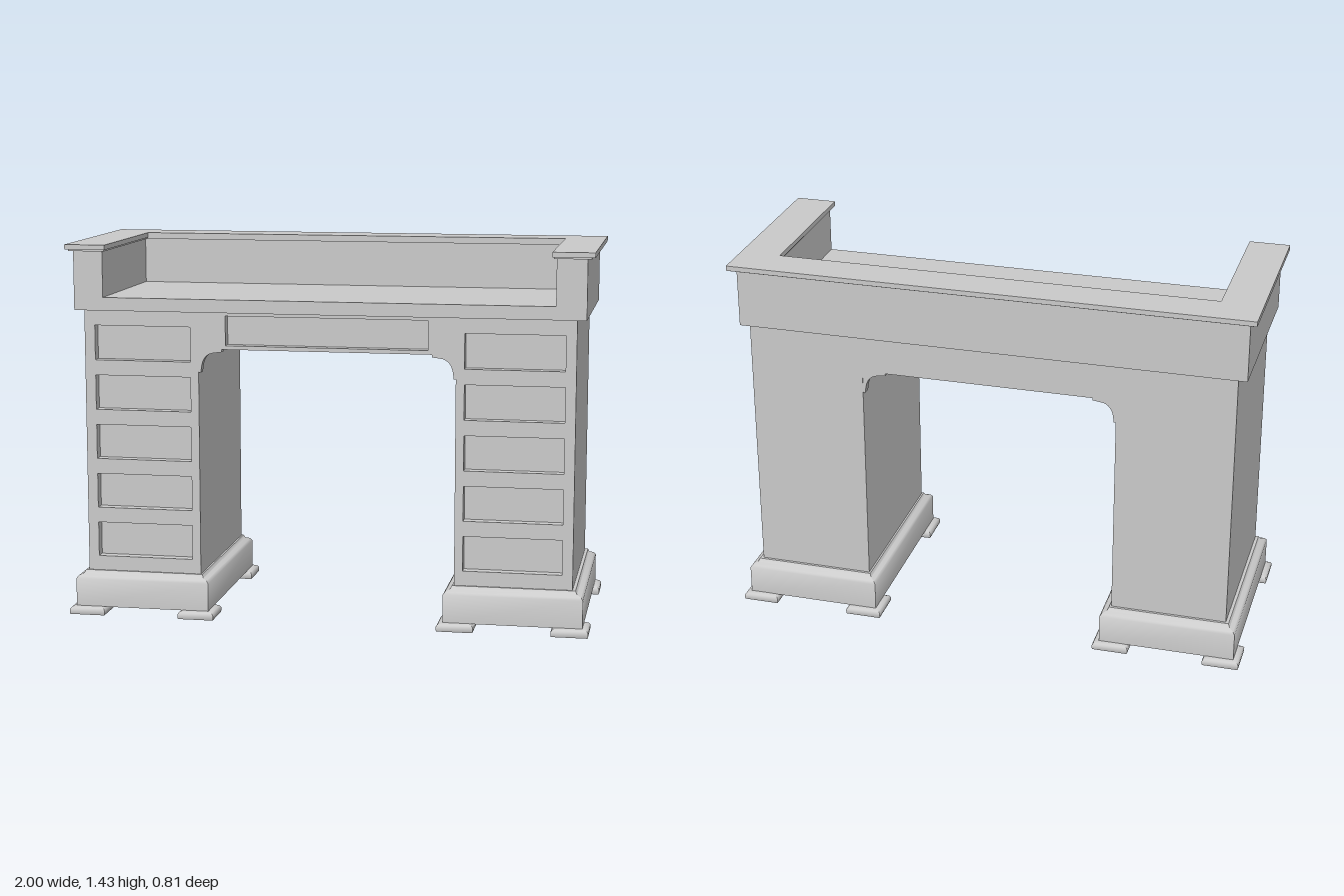
import * as THREE from 'three';
import { toCreasedNormals } from 'three/addons/utils/BufferGeometryUtils.js';

const material = new THREE.MeshStandardMaterial({ color: 0xcccccc });

// Closed rectangular loft; each ring is [halfX, halfZ, y], listed bottom to top
function loft(rings) {
  const corners = [[-1, 1], [1, 1], [1, -1], [-1, -1]];
  const pos = [];
  const idx = [];
  for (const [hx, hz, y] of rings) for (const [sx, sz] of corners) pos.push(sx * hx, y, sz * hz);
  for (let r = 0; r < rings.length - 1; r++) {
    for (let i = 0; i < 4; i++) {
      const a = r * 4 + i, b = r * 4 + (i + 1) % 4;
      idx.push(a, b, b + 4, a, b + 4, a + 4);
    }
  }
  const t = (rings.length - 1) * 4;
  idx.push(0, 2, 1, 0, 3, 2, t, t + 1, t + 2, t, t + 2, t + 3);
  const geo = new THREE.BufferGeometry();
  geo.setAttribute('position', new THREE.Float32BufferAttribute(pos, 3));
  geo.setIndex(idx);
  return toCreasedNormals(geo, 0.8);
}

function polygon(points, Type = THREE.Shape) {
  return new Type(points.map(([x, y]) => new THREE.Vector2(x, y)));
}

const rect = (x0, x1, y0, y1) => [[x0, y0], [x1, y0], [x1, y1], [x0, y1]];

// Extrusion along z from z0 to z1
function slab(shape, z0, z1) {
  const geo = new THREE.ExtrudeGeometry(shape, { depth: z1 - z0, bevelEnabled: false, curveSegments: 8 });
  return geo.translate(0, 0, z0);
}

// U-shaped plan (open to the front) raised from y0 to y1
function uPlan(outerX, innerX, back, innerBack, front, y0, y1) {
  const shape = polygon([
    [-outerX, -front], [-innerX, -front], [-innerX, -innerBack], [innerX, -innerBack],
    [innerX, -front], [outerX, -front], [outerX, -back], [-outerX, -back],
  ]);
  return slab(shape, y0, y1).rotateX(-Math.PI / 2);
}

export function createModel() {
  const group = new THREE.Group();
  const add = (name, geo, x = 0, y = 0, z = 0) => {
    const mesh = new THREE.Mesh(geo, material);
    mesh.name = name;
    mesh.position.set(x, y, z);
    group.add(mesh);
  };

  // Carcass: two pedestals joined by a bridge over the kneehole
  const outline = [
    [-0.935, 0.16], [-0.49, 0.16], [-0.49, 1.04], [0.49, 1.04],
    [0.49, 0.16], [0.935, 0.16], [0.935, 1.18], [-0.935, 1.18],
  ];
  const frontZ = 0.345, recess = 0.04;
  add('carcass', slab(polygon(outline), -0.342, frontZ - recess));

  // Front frame with recessed drawer openings
  const frame = polygon(outline);
  frame.holes.push(polygon(rect(-0.385, 0.385, 1.055, 1.167), THREE.Path));
  for (let i = 0; i < 5; i++) {
    const y = 0.223 + i * 0.1915;
    frame.holes.push(polygon(rect(0.522, 0.895, y, y + 0.133), THREE.Path));
    frame.holes.push(polygon(rect(-0.895, -0.522, y, y + 0.133), THREE.Path));
  }
  add('drawerFrame', slab(frame, frontZ - recess, frontZ));

  // Plinths and feet
  const plinth = loft([
    [0.262, 0.384, 0.03], [0.262, 0.384, 0.138], [0.255, 0.377, 0.148],
    [0.238, 0.36, 0.155], [0.232, 0.352, 0.167],
  ]);
  const foot = loft([
    [0.068, 0.068, 0], [0.07, 0.07, 0.006], [0.07, 0.07, 0.018],
    [0.065, 0.065, 0.026], [0.054, 0.054, 0.031],
  ]);
  for (const side of [-1, 1]) {
    add('plinth', plinth, side * 0.715);
    for (const x of [0.5, 0.93]) {
      for (const z of [-0.335, 0.335]) add('foot', foot, side * x, 0, z);
    }
  }

  // Curved brackets in the kneehole corners
  for (const side of [-1, 1]) {
    const s = new THREE.Shape();
    s.moveTo(side * 0.492, 1.042);
    s.lineTo(side * 0.4, 1.042);
    s.lineTo(side * 0.4, 1.03);
    s.lineTo(side * 0.43, 1.026);
    s.quadraticCurveTo(side * 0.474, 1.022, side * 0.48, 0.965);
    s.lineTo(side * 0.482, 0.95);
    s.lineTo(side * 0.492, 0.95);
    s.closePath();
    add('frontBracket', slab(s, 0.31, 0.343));
    add('backBracket', slab(s, -0.34, -0.307));
  }

  // Desktop tray, raised surround and overhanging rim
  add('desktop', new THREE.BoxGeometry(1.94, 0.05, 0.715), 0, 1.205, 0.002);
  add('surround', uPlan(0.97, 0.857, -0.3555, -0.25, 0.3595, 1.23, 1.408));
  const rimSteps = [[0.985, 0.847, -0.375, -0.24, 0.372, 1.405, 1.411],
    [0.998, 0.842, -0.388, -0.235, 0.379, 1.411, 1.43]];
  for (const step of rimSteps) add('rim', uPlan(...step));

  return group;
}
